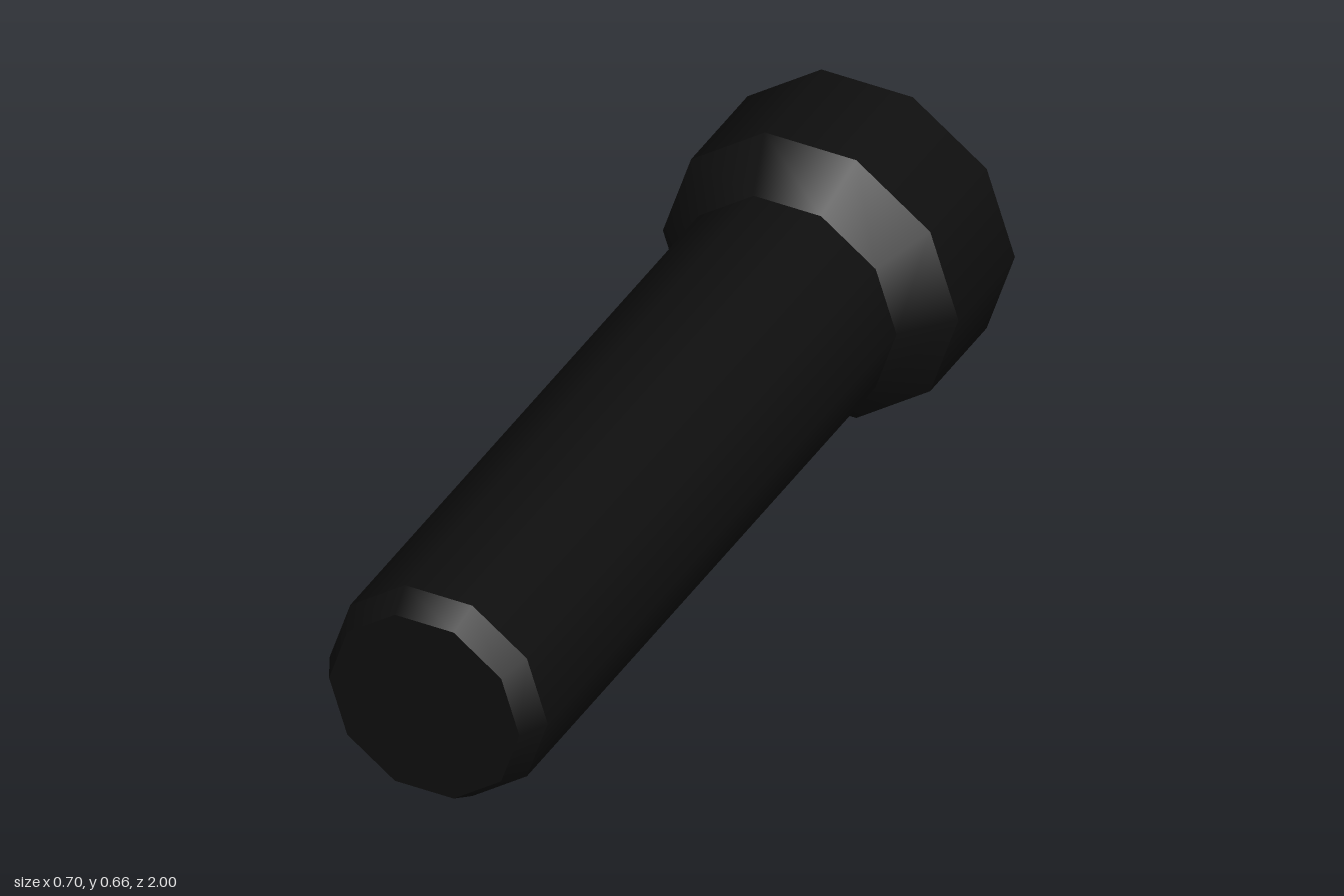
import * as THREE from 'three';

const SIDES = 10;

// A ten-sided band of revolution along z; profile entries are [radius, z]
function band(name, profile, material) {
  const points = profile.map(([r, z]) => new THREE.Vector2(r, z));
  const geometry = new THREE.LatheGeometry(points, SIDES, Math.PI / 2);
  geometry.rotateX(Math.PI / 2);
  const mesh = new THREE.Mesh(geometry, material);
  mesh.name = name;
  return mesh;
}

export function createModel() {
  const black = new THREE.MeshStandardMaterial({ color: 0x0e0e0e });
  black.name = 'black casing';
  const yellow = new THREE.MeshStandardMaterial({ color: 0xd0c024 });
  yellow.name = 'yellow lens';

  const flashlight = new THREE.Group();
  flashlight.name = 'flashlight';

  flashlight.add(
    // Flared head around the lamp
    band('head', [[0.348, -1], [0.348, -0.745]], black),
    band('collar', [[0.348, -0.745], [0.257, -0.64]], black),
    // Long grip with a bevelled butt
    band('handle', [[0.257, -0.64], [0.257, 0.935]], black),
    band('buttBevel', [[0.257, 0.935], [0.224, 1]], black),
    band('buttCap', [[0.224, 1], [0, 1]], black),
    // Shallow dished lamp: recessed lens and sloping reflector rim
    band('lens', [[0, -0.96], [0.312, -0.96]], yellow),
    band('reflectorRim', [[0.312, -0.96], [0.348, -1]], yellow),
  );

  // Rest the head on the ground
  flashlight.children.forEach((part) => { part.position.y = 0.332; });
  return flashlight;
}
